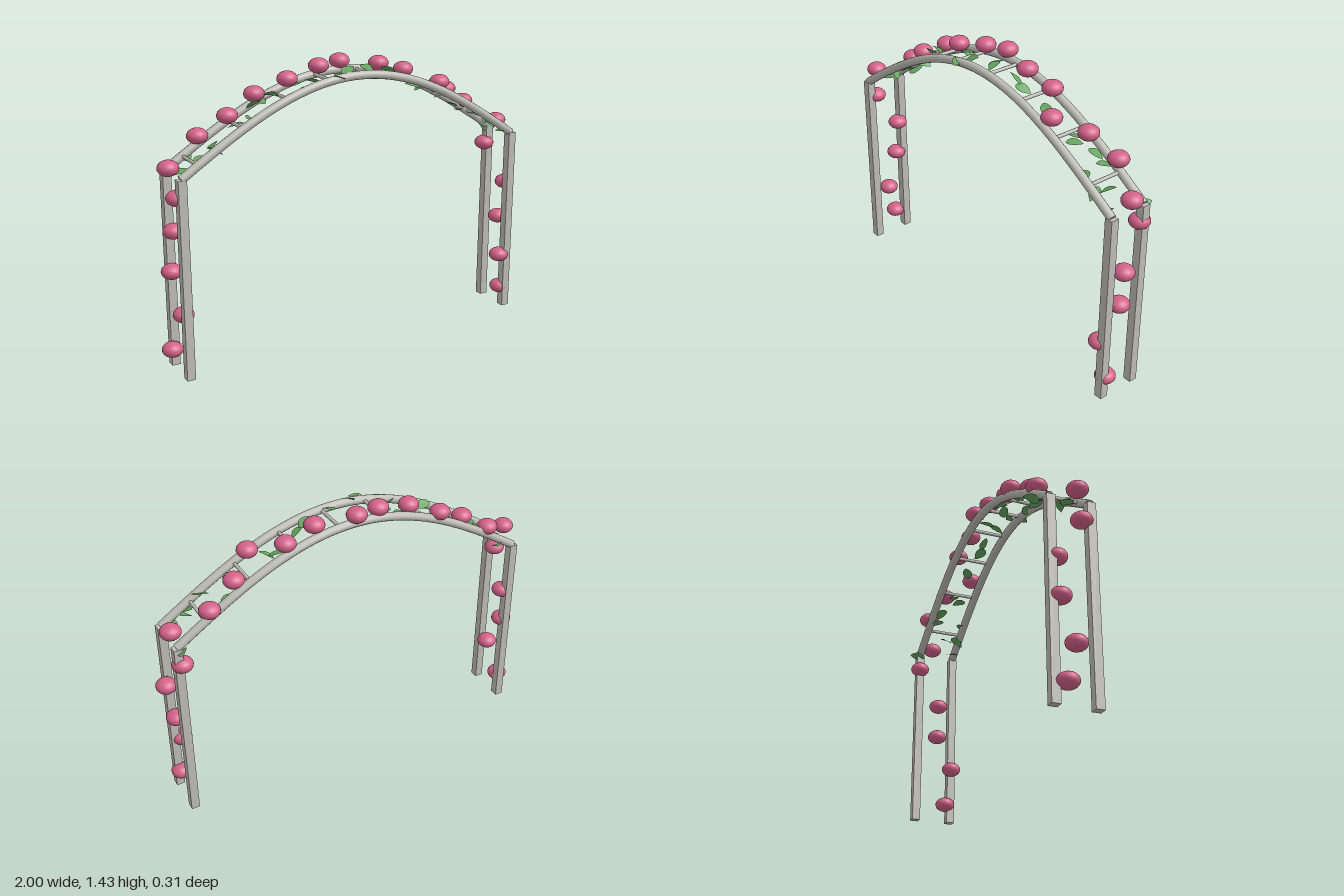
import * as THREE from 'three';

const SPAN = 0.918, SPRING = 0.97, RISE = 0.385;
const RAIL_Z = [0.107, -0.087];
const archY = (x) => SPRING + RISE * Math.cos((Math.PI / 2) * Math.min(1, Math.abs(x) / SPAN));

// small seeded generator for leaf tilt
function seeded(seed) {
  return () => {
    seed = (seed * 16807) % 2147483647;
    return seed / 2147483647;
  };
}

// pointed leaf lying flat, tip toward +x, gently folded on its midrib
function leafGeometry(length, width) {
  const shape = new THREE.Shape();
  shape.moveTo(-length / 2, 0);
  shape.bezierCurveTo(-length * 0.35, width * 0.7, length * 0.1, width * 0.7, length / 2, 0);
  shape.bezierCurveTo(length * 0.1, -width * 0.7, -length * 0.35, -width * 0.7, -length / 2, 0);
  const geo = new THREE.ShapeGeometry(shape, 6);
  geo.rotateX(-Math.PI / 2);
  const p = geo.attributes.position;
  for (let i = 0; i < p.count; i++) {
    p.setY(i, Math.abs(p.getZ(i)) * 0.2 - 1.5 * p.getX(i) ** 2);
  }
  geo.computeVertexNormals();
  return geo;
}

export function createModel() {
  const model = new THREE.Group();
  model.name = 'roseArch';
  const metal = new THREE.MeshStandardMaterial({ color: 0xbdbbb4 });
  metal.name = 'paleGrey';
  const pink = new THREE.MeshStandardMaterial({ color: 0xd4628a });
  pink.name = 'rosePink';
  const green = new THREE.MeshStandardMaterial({ color: 0x65a65e, side: THREE.DoubleSide });
  green.name = 'leafGreen';

  const add = (parent, name, geo, mat, x = 0, y = 0, z = 0) => {
    const mesh = new THREE.Mesh(geo, mat);
    mesh.name = name;
    mesh.position.set(x, y, z);
    parent.add(mesh);
    return mesh;
  };
  const group = (name) => {
    const g = new THREE.Group();
    g.name = name;
    model.add(g);
    return g;
  };

  // four square posts
  const posts = group('posts');
  const postGeo = new THREE.BoxGeometry(0.042, SPRING, 0.042);
  for (const z of RAIL_Z) {
    for (const side of [-1, 1]) add(posts, 'post', postGeo, metal, side * SPAN, SPRING / 2, z);
  }

  // two curved rails with closed ends
  const rails = group('archRails');
  const points = [];
  for (let i = 0; i <= 16; i++) {
    const x = -SPAN + (2 * SPAN * i) / 16;
    points.push(new THREE.Vector3(x, archY(x), 0));
  }
  const curve = new THREE.CatmullRomCurve3(points);
  const railGeo = new THREE.TubeGeometry(curve, 48, 0.021, 12);
  const capGeo = new THREE.CircleGeometry(0.021, 12);
  for (const z of RAIL_Z) {
    add(rails, 'archRail', railGeo, metal, 0, 0, z);
    for (const t of [0, 1]) {
      const end = curve.getPoint(t);
      const out = curve.getTangent(t).multiplyScalar(t ? 1 : -1);
      const cap = add(rails, 'railEnd', capGeo, metal, end.x, end.y, z);
      cap.quaternion.setFromUnitVectors(new THREE.Vector3(0, 0, 1), out);
    }
  }

  // rungs joining the rails
  const rungs = group('rungs');
  const rungGeo = new THREE.CylinderGeometry(0.009, 0.009, RAIL_Z[0] - RAIL_Z[1], 8);
  rungGeo.rotateX(Math.PI / 2);
  for (let i = 0; i < 8; i++) {
    const x = 0.77 - i * 0.229;
    add(rungs, 'rung', rungGeo, metal, x, archY(x), (RAIL_Z[0] + RAIL_Z[1]) / 2);
  }

  // flowers: flattened balls
  const flowers = group('flowers');
  const flowerGeo = new THREE.SphereGeometry(0.051, 20, 14);
  flowerGeo.scale(1, 0.74, 1);

  // along the arch: x, z
  const archFlowers = [
    [-0.949, 0.035], [-0.76, -0.075], [-0.62, -0.045], [-0.465, -0.08], [-0.31, -0.04],
    [-0.13, -0.062], [0, -0.09], [0.195, -0.043], [0.35, -0.058], [0.485, 0.068],
    [0.605, -0.045], [0.75, -0.092], [0.915, -0.015],
  ];
  for (const [x, z] of archFlowers) add(flowers, 'flower', flowerGeo, pink, x, archY(x) + 0.042, z);

  // up the posts: left x, left z, right x, right z
  const postFlowers = [
    [0.91, 0.078, -0.945, -0.037],
    [0.88, 0.1, -0.905, 0.027],
    [0.92, 0.027, -0.925, -0.05],
    [0.947, 0.04, -0.905, -0.055],
    [0.9, -0.09, -0.925, 0.062],
  ];
  postFlowers.forEach(([lx, lz, rx, rz], i) => {
    const y = 0.1 + i * 0.194;
    add(flowers, 'flower', flowerGeo, pink, lx, y, lz);
    add(flowers, 'flower', flowerGeo, pink, rx, y, rz);
  });

  // leaves threaded through the arch: x, z, heading in degrees
  const leaves = group('leaves');
  const leafGeo = leafGeometry(0.082, 0.05);
  const rand = seeded(29);
  const leafSpots = [
    [-0.8, -0.12, 70], [-0.88, 0.02, 200], [-0.8, 0.055, 30], [-0.73, 0.06, -10], [-0.71, -0.01, 60],
    [-0.6, 0.0, 150], [-0.53, 0.02, 20], [-0.5, -0.01, -40], [-0.45, -0.06, 110], [-0.42, 0.01, 0],
    [-0.28, 0.09, 200], [-0.25, -0.05, 40], [-0.19, -0.005, 160], [-0.115, 0.125, -60], [-0.05, 0.085, 20],
    [-0.03, -0.04, 80], [0.07, 0.055, -80], [0.2, 0.035, 190], [0.25, 0.03, 20], [0.37, 0.0, 150],
    [0.41, 0.02, -20], [0.55, -0.01, 170], [0.6, 0.035, 40], [0.65, -0.05, 15], [0.7, -0.06, 50],
    [0.72, 0.09, 160], [0.79, 0.09, -70], [0.82, 0.035, 30], [0.87, 0.085, 100], [0.9, -0.11, 80],
  ];
  for (const [x, z, heading] of leafSpots) {
    const y = archY(x) - 0.03 + rand() * 0.06;
    const leaf = add(leaves, 'leaf', leafGeo, green, x, y, z);
    leaf.rotation.set((rand() - 0.5) * 1.1, THREE.MathUtils.degToRad(heading), (rand() - 0.5) * 1.1, 'YXZ');
  }

  return model;
}
